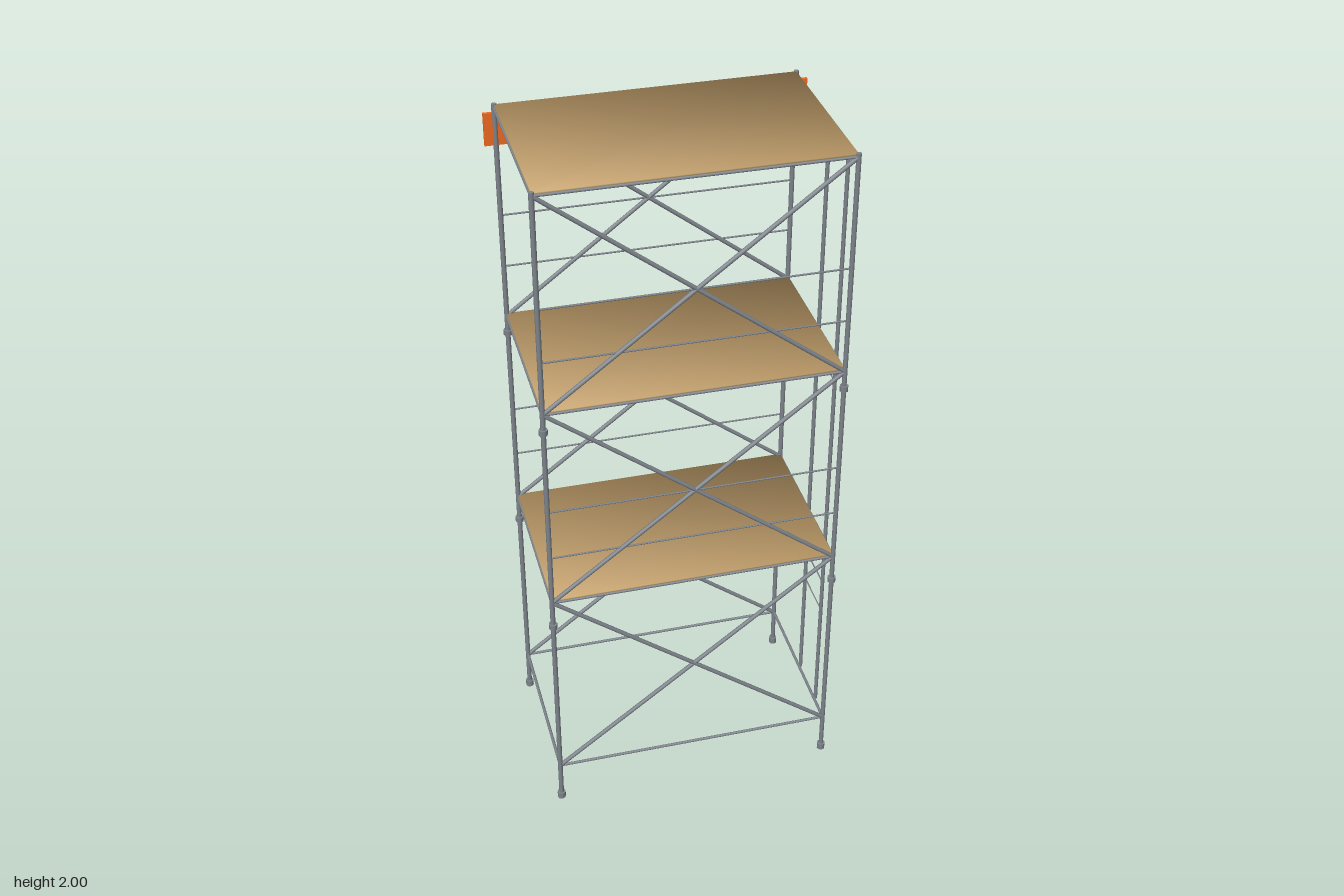
import * as THREE from 'three';

const STEEL = new THREE.MeshStandardMaterial({ color: 0x7e858c });
const WOOD = new THREE.MeshStandardMaterial({ color: 0xc8a46e });
const ORANGE = new THREE.MeshStandardMaterial({ color: 0xf06a20 });

const XL = -0.41, XR = 0.395, ZF = 0.248, ZB = -0.25;
const CX = (XL + XR) / 2, CZ = (ZF + ZB) / 2;
const LEVELS = [0.127, 0.747, 1.367, 1.985];

// Round tube between two points
function tube(name, a, b, r, sides = 8) {
  const from = new THREE.Vector3(...a), to = new THREE.Vector3(...b);
  const dir = to.clone().sub(from);
  const mesh = new THREE.Mesh(new THREE.CylinderGeometry(r, r, dir.length(), sides), STEEL);
  mesh.position.copy(from).add(to).multiplyScalar(0.5);
  mesh.quaternion.setFromUnitVectors(new THREE.Vector3(0, 1, 0), dir.normalize());
  mesh.name = name;
  return mesh;
}

function box(name, size, pos, material) {
  const mesh = new THREE.Mesh(new THREE.BoxGeometry(...size), material);
  mesh.position.set(...pos);
  mesh.name = name;
  return mesh;
}

// Thin platform, shaded smoothly across its corners
function makeDeck(y) {
  const deck = box('deck', [XR - XL, 0.006, ZF - ZB], [CX, y + 0.005, CZ], WOOD);
  const { position, normal } = deck.geometry.attributes;
  const n = new THREE.Vector3();
  for (let i = 0; i < position.count; i++) {
    n.fromBufferAttribute(position, i);
    n.set(Math.sign(n.x), Math.sign(n.y), Math.sign(n.z)).normalize();
    normal.setXYZ(i, n.x, n.y, n.z);
  }
  return deck;
}

// Upright with foot and joint collars
function makePost(x, z) {
  const post = new THREE.Group();
  post.name = 'post';
  post.add(tube('upright', [x, 0.01, z], [x, 1.995, z], 0.007));
  post.add(tube('foot', [x, 0, z], [x, 0.02, z], 0.012));
  for (const y of [0.665, 1.315]) {
    post.add(tube('collar', [x, y - 0.008, z], [x, y + 0.008, z], 0.012));
  }
  return post;
}

// Two rails with the few remaining rungs
function makeLadder() {
  const ladder = new THREE.Group();
  ladder.name = 'ladder';
  const x = 0.433, z = 0.076;
  for (const s of [-1, 1]) {
    ladder.add(tube('ladderRail', [x, 0.04, s * z], [x, 1.89, s * z], 0.006));
  }
  for (const y of [0.4, 0.505, 0.61, 1.22]) {
    ladder.add(tube('rung', [x, y, -z], [x, y, z], 0.002, 6));
  }
  return ladder;
}

export function createModel() {
  const model = new THREE.Group();
  model.name = 'scaffoldTower';

  for (const x of [XL, XR]) for (const z of [ZF, ZB]) model.add(makePost(x, z));

  // Horizontal frame at every level
  for (const y of LEVELS) {
    for (const z of [ZF, ZB]) model.add(tube('longLedger', [XL, y, z], [XR, y, z], 0.004));
    for (const x of [XL, XR]) model.add(tube('sideLedger', [x, y, ZB], [x, y, ZF], 0.0045));
  }

  // Platforms
  for (const y of LEVELS.slice(1)) model.add(makeDeck(y));

  // Cross braces and guard rails on the front and back
  for (const z of [ZF, ZB]) {
    for (let i = 0; i < 3; i++) {
      const lo = LEVELS[i], hi = LEVELS[i + 1];
      model.add(tube('crossBrace', [XL, lo, z], [XR, hi, z], 0.006));
      model.add(tube('crossBrace', [XL, hi, z], [XR, lo, z], 0.006));
      if (i === 0) continue;
      for (const h of [0.155, 0.309]) {
        model.add(tube('guardRail', [XL, lo + h, z], [XR, lo + h, z], 0.0025, 6));
      }
    }
  }

  // Board across the top of the back
  model.add(box('backBoard', [0.866, 0.09, 0.009], [-0.007, 1.925, -0.2525], ORANGE));

  model.add(makeLadder());
  return model;
}
